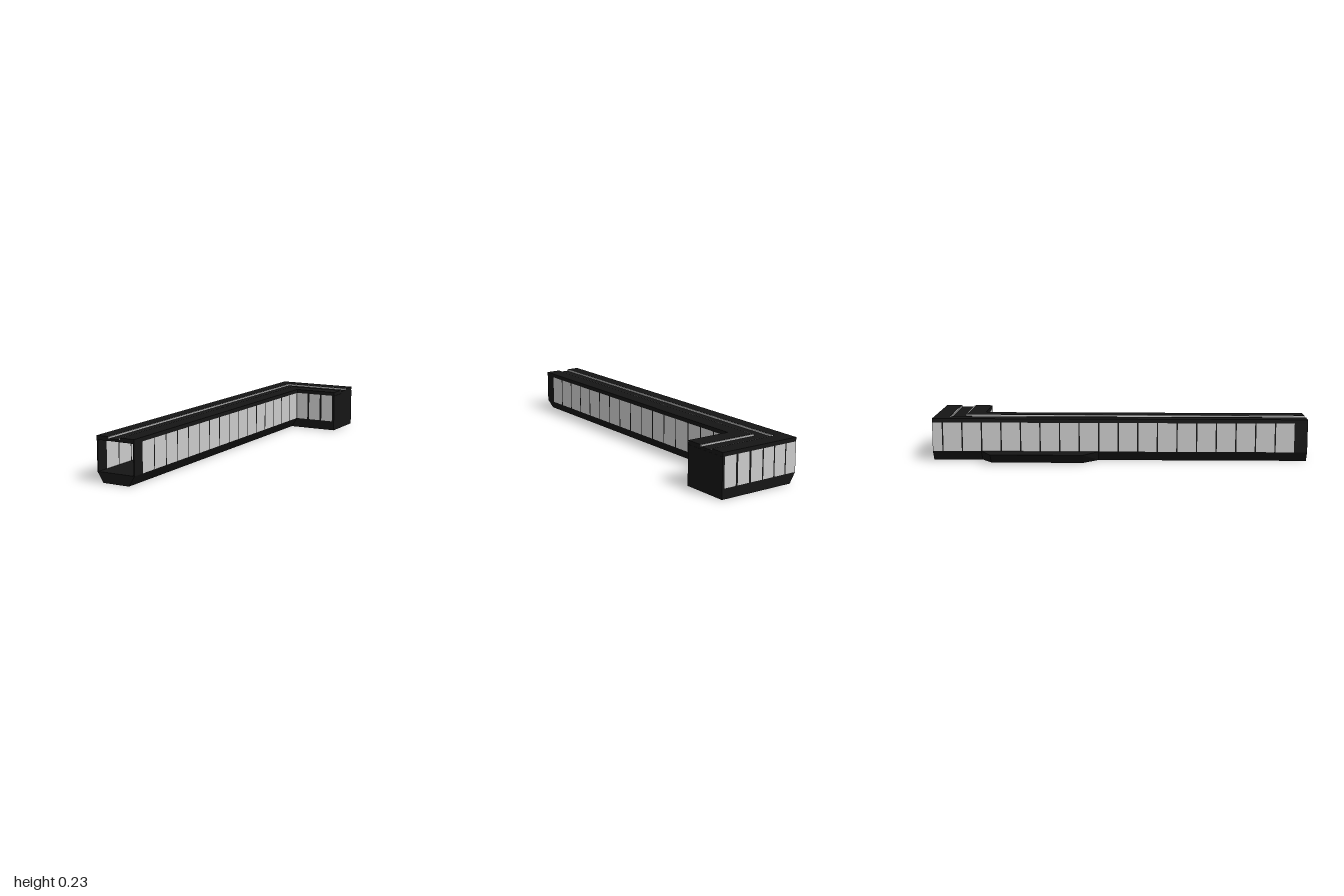
import * as THREE from 'three';

const dark = new THREE.MeshStandardMaterial({ color: 0x151515 });
const glass = new THREE.MeshStandardMaterial({ color: 0xcccccc });

// Main heights and plan limits
const SILL = 0.053, HEAD = 0.208, TOP = 0.229;
const X0 = -0.178, X1 = 0.036, X2 = 0.279; // outer side, inner side, wing end
const ZB = -1, ZW = -0.74, ZF = 1; // back, front of wing, front end
const T = 0.006; // wall thickness

function add(parent, name, geometry, material = dark) {
  const mesh = new THREE.Mesh(geometry, material);
  mesh.name = name;
  parent.add(mesh);
  return mesh;
}

// Box given by its limits
function block(parent, name, x0, x1, y0, y1, z0, z1, material) {
  const mesh = add(parent, name, new THREE.BoxGeometry(x1 - x0, y1 - y0, z1 - z0), material);
  mesh.position.set((x0 + x1) / 2, (y0 + y1) / 2, (z0 + z1) / 2);
}

// Horizontal slab from a plan of [x, z] points
function slab(points, y0, y1) {
  const shape = new THREE.Shape(points.map(([x, z]) => new THREE.Vector2(x, -z)));
  const geometry = new THREE.ExtrudeGeometry(shape, { depth: y1 - y0, bevelEnabled: false });
  return geometry.rotateX(-Math.PI / 2).translate(0, y0, 0);
}

// Thin wall of panes with dark bars between them; panes are [start, end] along the wall
function windowWall(parent, name, axis, at, start, end, panes) {
  const wall = new THREE.Group();
  wall.name = name;
  parent.add(wall);
  const piece = (label, a, b, material) => {
    if (b - a < 0.0005) return;
    if (axis === 'x') block(wall, label, a, b, SILL, HEAD, at, at + T, material);
    else block(wall, label, at, at + T, SILL, HEAD, a, b, material);
  };
  let cursor = start;
  for (const [a, b] of panes) {
    piece('windowBar', cursor, a, dark);
    piece('windowPane', a, b, glass);
    cursor = b;
  }
  piece('windowBar', cursor, end, dark);
}

export function createModel() {
  const building = new THREE.Group();
  building.name = 'building';

  // Base: long wing with chamfered underside, and square-edged short wing
  const section = new THREE.Shape([
    [X0, SILL], [X0 + 0.033, 0], [X1 - 0.033, 0], [X1, SILL],
  ].map(([x, y]) => new THREE.Vector2(x, y)));
  const longBase = new THREE.ExtrudeGeometry(section, { depth: ZF - ZB, bevelEnabled: false });
  add(building, 'longWingBase', longBase.translate(0, 0, ZB));
  block(building, 'shortWingBase', X1 - 0.033, X2, 0, SILL, ZB, ZW);

  // Side terrace, its underside drawn inwards
  const terrace = slab([[X0, -0.74], [-0.28, -0.68], [-0.28, -0.19], [X0, -0.11]], 0, SILL);
  const p = terrace.attributes.position;
  for (let i = 0; i < p.count; i++) if (p.getY(i) < 0.01) p.setX(i, p.getX(i) * 0.79);
  terrace.computeVertexNormals();
  add(building, 'terrace', terrace);

  // Roof: L-shaped deck, two raised borders and a sunken channel between them
  const L = (xa, za, xb, zb) => [
    [xa, ZF], [xa, za], [X2, za], [X2, zb], [xb, zb], [xb, ZF],
  ];
  const GUTTER = 0.22, CX0 = -0.111, CX1 = -0.043, CZ0 = -0.916, CZ1 = -0.835;
  add(building, 'roofDeck', slab(L(X0, ZB, X1, ZW), HEAD, GUTTER));
  add(building, 'outerRoofBorder', slab(L(X0, ZB, CX0, CZ0), GUTTER, TOP));
  add(building, 'innerRoofBorder', slab(L(CX1, CZ1, X1, ZW), GUTTER, TOP));

  // Light strips lining the channel
  const W = 0.005;
  add(building, 'outerLightStrip', slab(L(CX0, CZ0, CX0 + W, CZ0 + W), GUTTER, TOP - 0.001), glass);
  add(building, 'innerLightStrip', slab(L(CX1 - W, CZ1 - W, CX1, CZ1), GUTTER, TOP - 0.001), glass);

  // Long side walls: even panes counted from the front end, which stays open
  const FIRST = 0.93, PITCH = (FIRST - ZW) / 16, BAR = 0.007;
  const sidePanes = (zEnd) => {
    const panes = [];
    for (let z = FIRST; z > zEnd + 0.01; z -= PITCH) {
      panes.unshift([Math.max(z - PITCH + BAR, zEnd), z]);
    }
    return panes;
  };
  windowWall(building, 'outerSideWall', 'z', X0, ZB + T, ZF, sidePanes(ZB + T));
  windowWall(building, 'innerSideWall', 'z', X1 - T, ZW, ZF, sidePanes(ZW));

  // Back wall and front wall of the short wing share the pane spacing
  const crossPanes = [
    [X0, -0.115], [-0.108, -0.043], [-0.036, 0.028],
    [0.036, 0.105], [0.117, 0.186], [0.198, 0.267],
  ];
  windowWall(building, 'backWall', 'x', ZB, X0, X2, crossPanes);
  windowWall(building, 'shortWingFrontWall', 'x', ZW - T, X1, X2, crossPanes.slice(3));

  // Solid wall closing the short wing
  block(building, 'shortWingEndWall', X2 - T, X2 + 0.001, 0, HEAD, ZB, ZW);

  return building;
}
